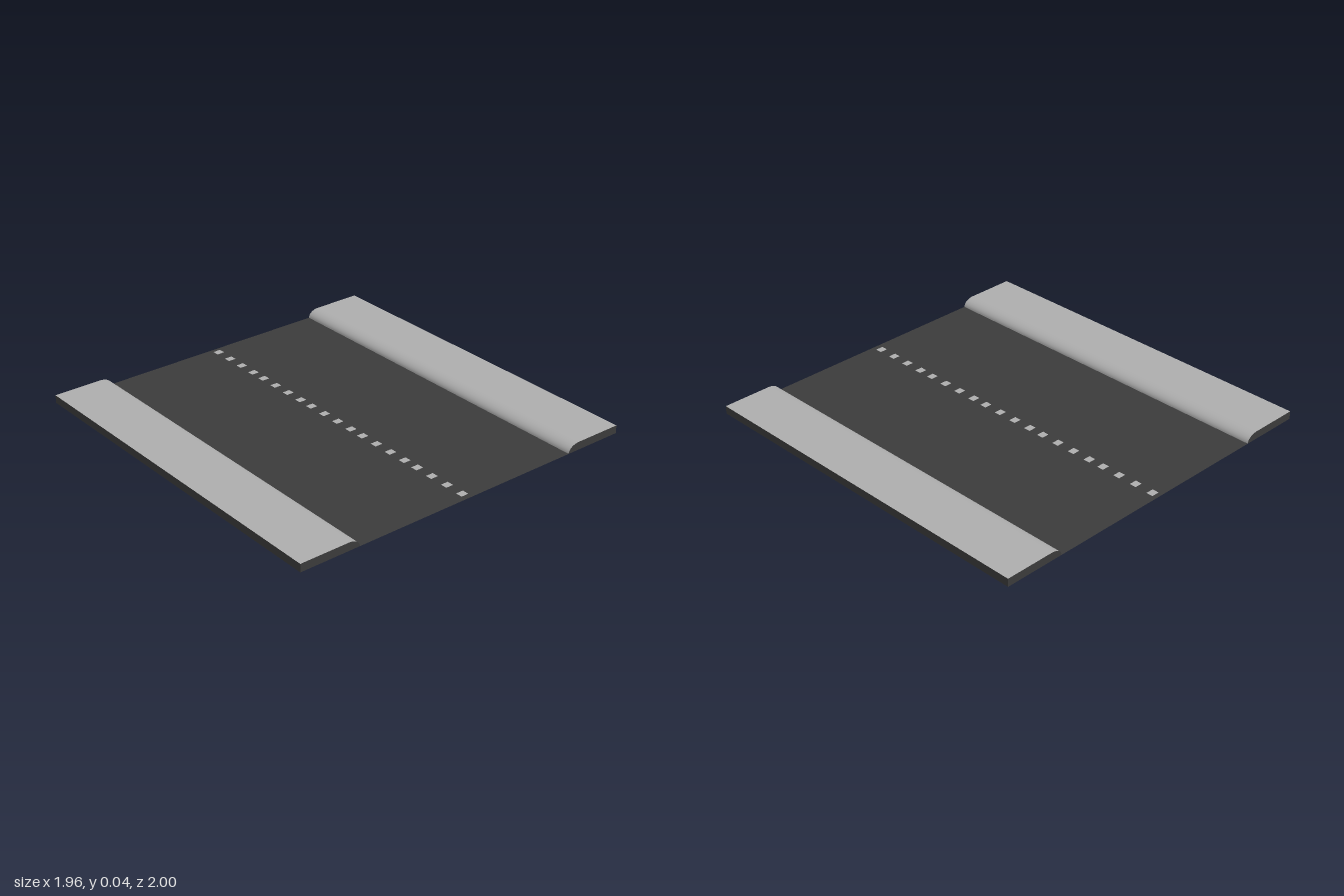
import * as THREE from 'three';

const TILES = 5, TILE = 0.4, LENGTH = TILES * TILE;
const INNER = 0.65, OUTER = 0.98, HEIGHT = 0.043, ROUND = 0.065;

export function createModel() {
  const asphalt = new THREE.MeshStandardMaterial({ color: 0x3b3b3b, side: THREE.DoubleSide });
  asphalt.name = 'dark asphalt';
  const concrete = new THREE.MeshStandardMaterial({ color: 0xadadad, side: THREE.DoubleSide });
  concrete.name = 'light concrete';

  const model = new THREE.Group();
  model.name = 'road';
  const add = (parent, name, geometry, material, x = 0, y = 0, z = 0) => {
    const mesh = new THREE.Mesh(geometry, material);
    mesh.name = name;
    mesh.position.set(x, y, z);
    parent.add(mesh);
    return mesh;
  };

  // Flat roadway sheet
  add(model, 'roadway', new THREE.PlaneGeometry(2 * INNER, LENGTH).rotateX(-Math.PI / 2), asphalt);

  // Sidewalk cross-section: rounded kerb, then a flat top
  const profile = [];
  for (let i = 0; i <= 10; i++) {
    const a = (i / 10) * Math.PI / 2;
    profile.push([INNER + ROUND * (1 - Math.cos(a)), HEIGHT * Math.sin(a)]);
  }
  profile.push([OUTER, HEIGHT]);

  for (const side of [-1, 1]) {
    const sidewalk = new THREE.Group();
    sidewalk.name = side > 0 ? 'leftSidewalk' : 'rightSidewalk';
    model.add(sidewalk);
    const section = profile.map(([x, y]) => [side * x, y]);
    if (side < 0) section.reverse();

    // Hollow shell: a plane bent along the cross-section
    const shell = new THREE.PlaneGeometry(1, LENGTH, section.length - 1, 1).rotateX(-Math.PI / 2);
    const pos = shell.attributes.position;
    for (let i = 0; i < pos.count; i++) {
      const [x, y] = section[i % section.length];
      pos.setXYZ(i, x, y, pos.getZ(i));
    }
    shell.computeVertexNormals();
    add(sidewalk, 'pavement', shell, concrete);

    // Outer wall
    const wall = new THREE.PlaneGeometry(LENGTH, HEIGHT).rotateY(side * Math.PI / 2);
    add(sidewalk, 'outerWall', wall, asphalt, side * OUTER, HEIGHT / 2, 0);

    // End caps and the partitions between tiles
    const outline = section.map(([x, y]) => new THREE.Vector2(x, y));
    outline.push(new THREE.Vector2(side * (side > 0 ? OUTER : INNER), 0));
    if (side < 0) outline.push(new THREE.Vector2(-OUTER, 0));
    const partition = new THREE.ShapeGeometry(new THREE.Shape(outline));
    for (let i = 0; i <= TILES; i++) {
      add(sidewalk, 'partition', partition, asphalt, 0, 0, -LENGTH / 2 + i * TILE);
    }
  }

  // Centre line: four dashes per tile, the first one showing through below
  const thin = new THREE.BoxGeometry(0.042, 0.001, 0.036);
  const through = new THREE.BoxGeometry(0.042, 0.002, 0.036);
  for (let t = 0; t < TILES; t++) {
    const centre = (t - (TILES - 1) / 2) * TILE;
    [-0.158, -0.054, 0.05, 0.153].forEach((offset, i) => {
      add(model, 'laneDash', i ? thin : through, concrete, 0, i ? 0.001 : 0.0005, centre + offset);
    });
  }
  return model;
}
